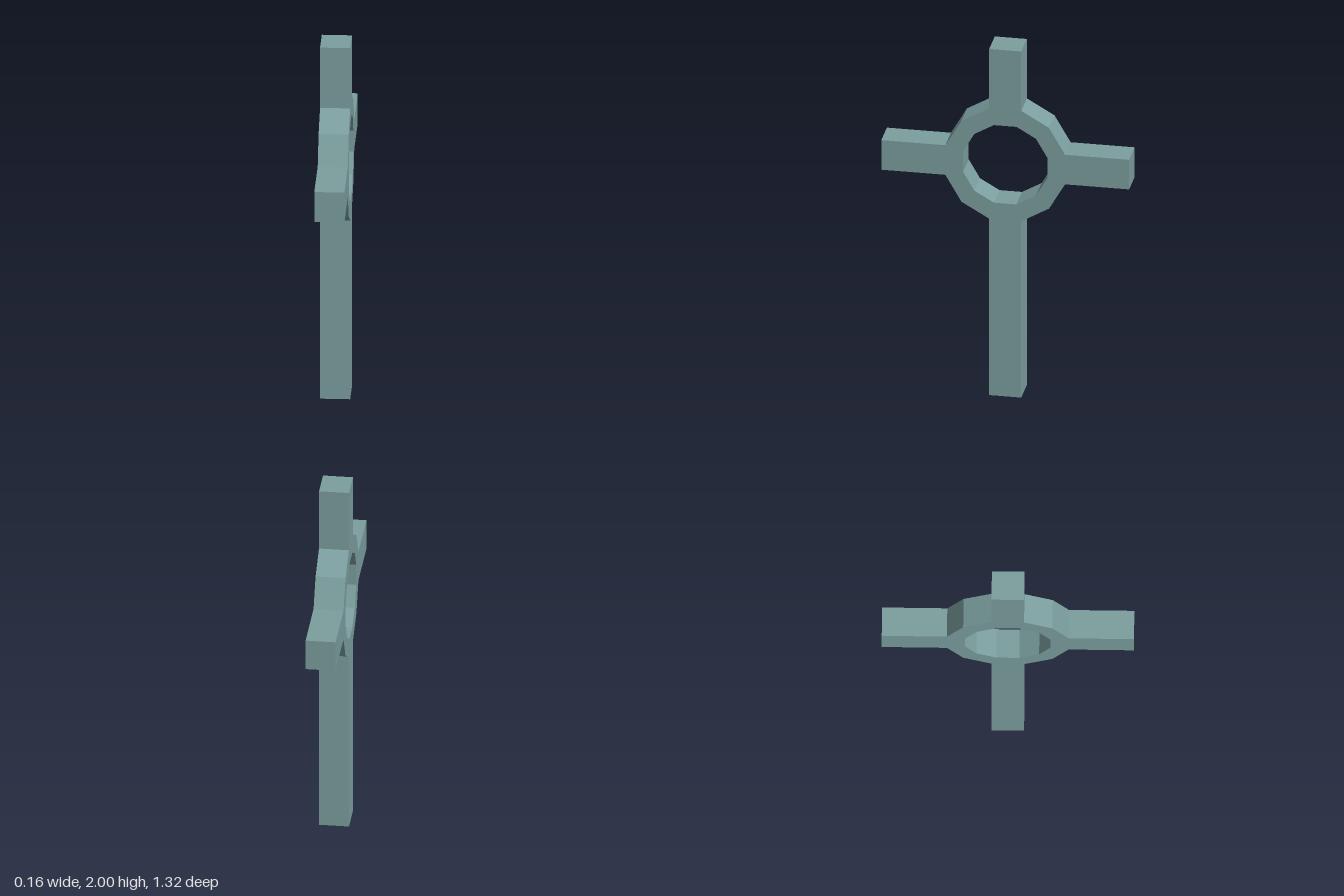
import * as THREE from 'three';

const CENTER_Y = 1.338, OUTER = 0.33, INNER = 0.232, THICKNESS = 0.158;
const ARM_LENGTHS = [0.66, 0.662, 0.66, CENTER_Y]; // side, top, side, foot

export function createModel() {
  const group = new THREE.Group();
  group.name = 'ringedCross';
  const polar = (r, deg) => new THREE.Vector2(r, 0).rotateAround(new THREE.Vector2(), THREE.MathUtils.degToRad(deg));

  // Outline: four arms growing out of a twelve-sided ring
  const halfWidth = polar(OUTER, 15).y;
  const outline = [];
  ARM_LENGTHS.forEach((length, i) => {
    const angle = i * 90;
    const tip = (side) => new THREE.Vector2(length, side * halfWidth)
      .rotateAround(new THREE.Vector2(), THREE.MathUtils.degToRad(angle));
    outline.push(polar(OUTER, angle - 15), tip(-1), tip(1), polar(OUTER, angle + 15), polar(OUTER, angle + 45));
  });
  const shape = new THREE.Shape(outline);

  // Twelve-sided opening
  const opening = Array.from({ length: 12 }, (_, i) => polar(INNER, 15 - i * 30));
  shape.holes.push(new THREE.Path(opening));

  const geometry = new THREE.ExtrudeGeometry(shape, { depth: THICKNESS, bevelEnabled: false });
  geometry.translate(0, 0, -THICKNESS / 2);
  geometry.rotateY(Math.PI / 2);
  geometry.translate(0, CENTER_Y, 0);

  const cross = new THREE.Mesh(geometry, new THREE.MeshStandardMaterial({ color: 0x7c9f9f, flatShading: true }));
  cross.name = 'crossWithRing';
  group.add(cross);
  return group;
}
